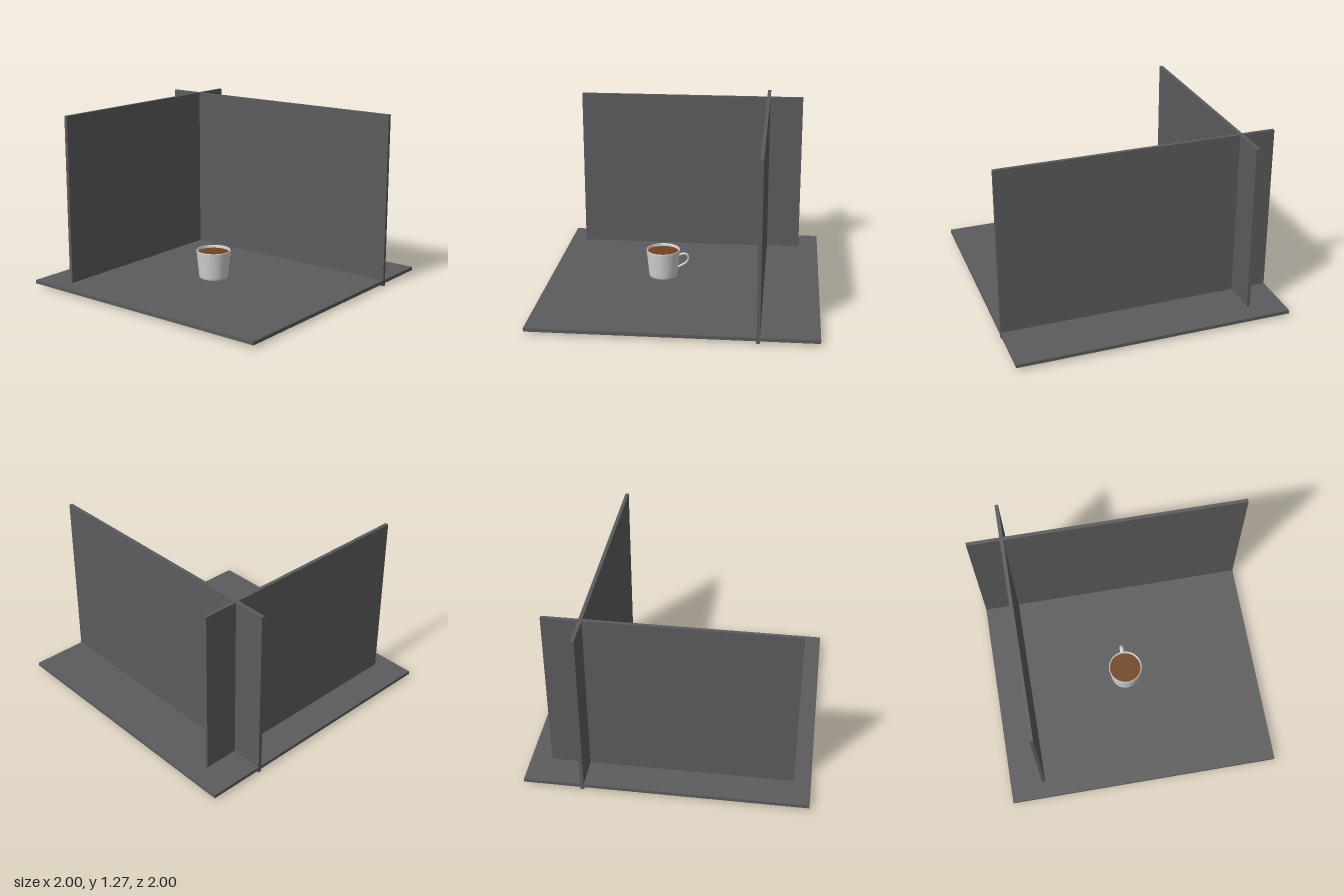
import * as THREE from 'three';

const mat = (name, color, side = THREE.FrontSide) => {
  const m = new THREE.MeshStandardMaterial({ color, side });
  m.name = name;
  return m;
};

export function createModel() {
  const group = new THREE.Group();
  const slate = mat('dark grey', 0x5c5c5e);
  const china = mat('white china', 0xd2d2d6, THREE.DoubleSide);
  const coffee = mat('coffee brown', 0x71431f);

  const add = (parent, name, geometry, material, x = 0, y = 0, z = 0) => {
    const mesh = new THREE.Mesh(geometry, material);
    mesh.name = name;
    mesh.position.set(x, y, z);
    parent.add(mesh);
    return mesh;
  };
  const slab = (name, [x0, x1], [y0, y1], [z0, z1]) =>
    add(group, name, new THREE.BoxGeometry(x1 - x0, y1 - y0, z1 - z0), slate,
      (x0 + x1) / 2, (y0 + y1) / 2, (z0 + z1) / 2);

  // Room: floor slab and two crossing walls
  slab('floor', [-1, 1], [0.02, 0.045], [-1, 1]);
  slab('backWall', [-1, 1], [0, 1.27], [-0.597, -0.572]);
  slab('sideWall', [-0.765, -0.74], [0, 1.27], [-0.85, 0.88]);

  // Cup, with its origin on the cup's axis
  const cup = new THREE.Group();
  cup.name = 'cup';
  cup.position.set(-0.004, 0, 0.16);
  group.add(cup);

  // Outer wall, rim and inner wall in one turned profile
  const profile = [
    [0, 0.055], [0.094, 0.055], [0.1, 0.057], [0.104, 0.063], [0.107, 0.08],
    [0.125, 0.259], [0.125, 0.264], [0.122, 0.266], [0.118, 0.264],
    [0.117, 0.258], [0.1, 0.085], [0.094, 0.068], [0, 0.066],
  ].map(([r, y]) => new THREE.Vector2(r, y));
  add(cup, 'cupBody', new THREE.LatheGeometry(profile, 48), china);

  // Drink surface
  add(cup, 'coffeeSurface', new THREE.CircleGeometry(0.116, 48).rotateX(-Math.PI / 2), coffee, 0, 0.246, 0);

  // Ear-shaped handle at the back, a flattened tube
  const path = new THREE.CatmullRomCurve3([
    [0.222, -0.117], [0.234, -0.145], [0.233, -0.17], [0.217, -0.186],
    [0.192, -0.187], [0.165, -0.17], [0.145, -0.14], [0.128, -0.108],
  ].map(([y, z]) => new THREE.Vector3(0, y, z)));
  const handle = add(cup, 'handle', new THREE.TubeGeometry(path, 40, 0.007, 12), china);
  handle.scale.x = 1.9;

  return group;
}
